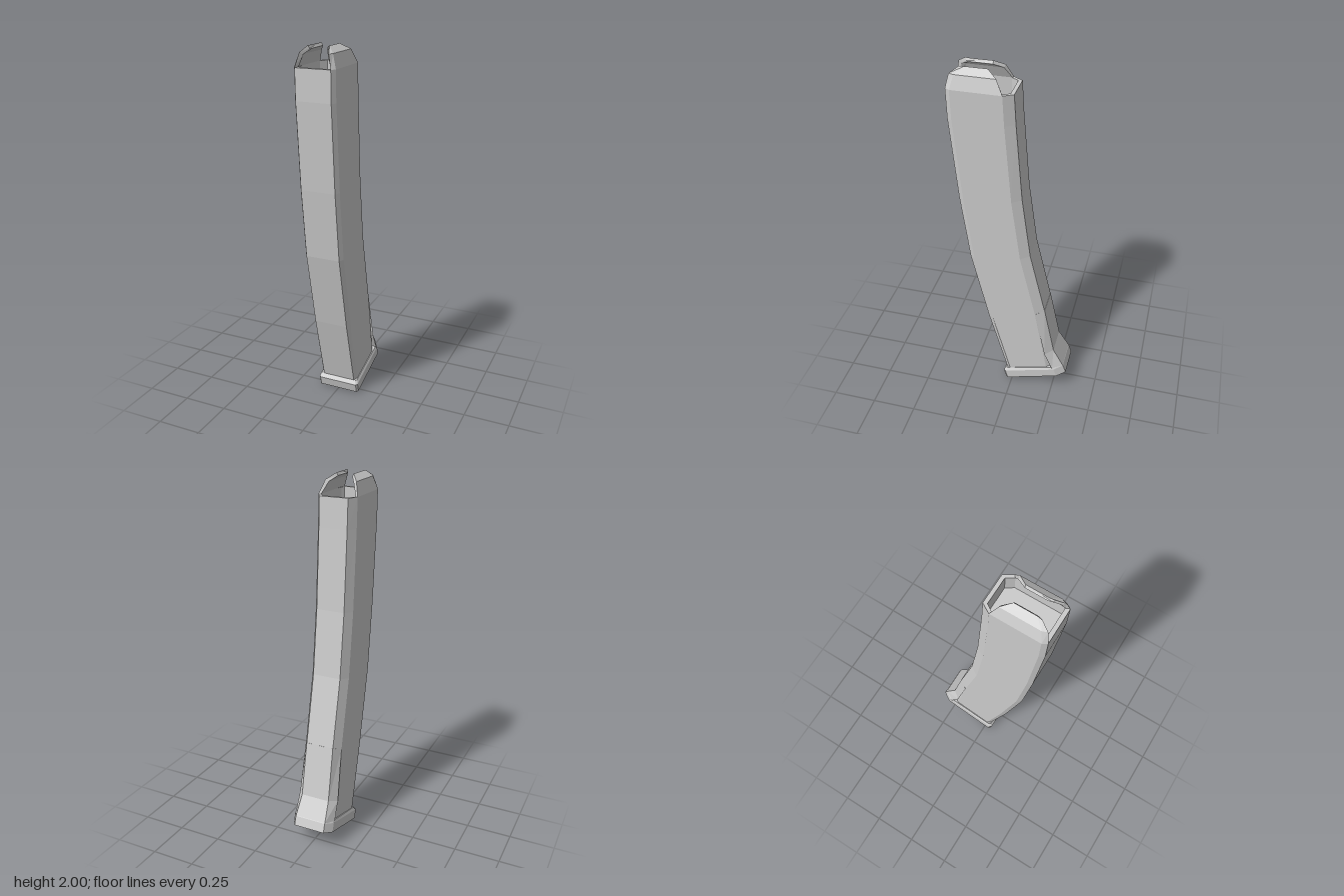
import * as THREE from 'three';

const material = new THREE.MeshStandardMaterial({ color: 0xcccccc, flatShading: true });

// Skins closed rings (listed bottom to top, each running front -> +x -> back -> -x) and caps both ends.
function loft(name, rings) {
  const pos = [];
  const tri = (a, b, c) => pos.push(...a, ...b, ...c);
  const n = rings[0].length;
  for (let s = 0; s < rings.length - 1; s++) {
    const lo = rings[s], hi = rings[s + 1];
    for (let i = 0; i < n; i++) {
      const j = (i + 1) % n;
      tri(lo[i], lo[j], hi[j]);
      tri(lo[i], hi[j], hi[i]);
    }
  }
  const centre = (r) => [0, 1, 2].map((k) => r.reduce((sum, p) => sum + p[k], 0) / n);
  const first = rings[0], last = rings[rings.length - 1];
  const c0 = centre(first), c1 = centre(last);
  for (let i = 0; i < n; i++) {
    const j = (i + 1) % n;
    tri(c0, first[j], first[i]);
    tri(c1, last[i], last[j]);
  }
  const geometry = new THREE.BufferGeometry();
  geometry.setAttribute('position', new THREE.Float32BufferAttribute(pos, 3));
  geometry.computeVertexNormals();
  const mesh = new THREE.Mesh(geometry, material);
  mesh.name = name;
  return mesh;
}

// Mirrored ring on a tilted plane from front [z, y] to back [z, y]; half holds [x, fraction front to back].
function ring(front, back, half) {
  const at = (x, t) => [x, front[1] + (back[1] - front[1]) * t, front[0] + (back[0] - front[0]) * t];
  return [
    ...half.map(([x, t]) => at(x, t)),
    ...half.slice().reverse().map(([x, t]) => at(-x, t)),
  ];
}

export function createModel() {
  const group = new THREE.Group();
  group.name = 'curvedMagazine';

  // Curved body, ending in a rim and a recessed mouth
  const outer = [[0.095, 0], [0.11, 0.075], [0.11, 0.85], [0.08, 1]];
  const inner = [[0.088, 0], [0.097, 0.06], [0.097, 0.87], [0.072, 1]];
  const stations = [
    [[0.03, 0.06], [-0.255, 0.15]],
    [[0.14, 0.47], [-0.185, 0.57]],
    [[0.237, 0.9], [-0.097, 0.95]],
    [[0.285, 1.28], [-0.05, 1.31]],
    [[0.325, 1.74], [-0.018, 1.74]],
    [[0.328, 1.9], [-0.01, 1.9]],
  ];
  group.add(loft('body', [
    ...stations.map(([f, b]) => ring(f, b, outer)),
    ring([0.306, 1.9], [0.01, 1.9], inner),
    ring([0.306, 1.8], [0.01, 1.8], inner),
  ]));

  // Flared heel on the lower back
  group.add(loft('heel', [
    ring([0.03, 0.07], [-0.308, 0.165], [[0.122, 0.83], [0.09, 1]]),
    ring([0.06, 0.18], [-0.247, 0.27], [[0.119, 0.85], [0.082, 1]]),
    ring([0.14, 0.47], [-0.186, 0.57], [[0.11, 0.85], [0.08, 1]]),
  ]));

  // Base plate with chamfered back corners
  const plate = [[0.113, 0], [0.122, 0.03], [0.122, 0.86], [0.09, 1]];
  group.add(loft('basePlate', [
    ring([0.036, 0], [-0.328, 0.112], plate),
    ring([0.05, 0.053], [-0.31, 0.162], plate),
    ring([0.036, 0.074], [-0.302, 0.172], [[0.105, 0], [0.113, 0.03], [0.116, 0.86], [0.088, 1]]),
  ]));

  // Feed lips: outer chamfer, outer front, outer back, then the same along the inside
  const lipRings = [
    [[0.095, 1.9, 0.328], [0.11, 1.9, 0.303], [0.11, 1.9, 0.04],
      [0.097, 1.9, 0.045], [0.097, 1.9, 0.288], [0.086, 1.9, 0.306]],
    [[0.077, 1.97, 0.312], [0.087, 1.97, 0.285], [0.087, 1.97, 0.075],
      [0.07, 1.96, 0.08], [0.07, 1.96, 0.275], [0.065, 1.96, 0.294]],
    [[0.053, 2, 0.268], [0.049, 2, 0.24], [0.049, 2, 0.125],
      [0.04, 1.985, 0.127], [0.04, 1.985, 0.24], [0.046, 1.985, 0.262]],
  ];
  const mirrored = lipRings.map((r) => r.map(([x, y, z]) => [-x, y, z]).reverse());
  group.add(loft('leftFeedLip', lipRings), loft('rightFeedLip', mirrored));

  return group;
}
